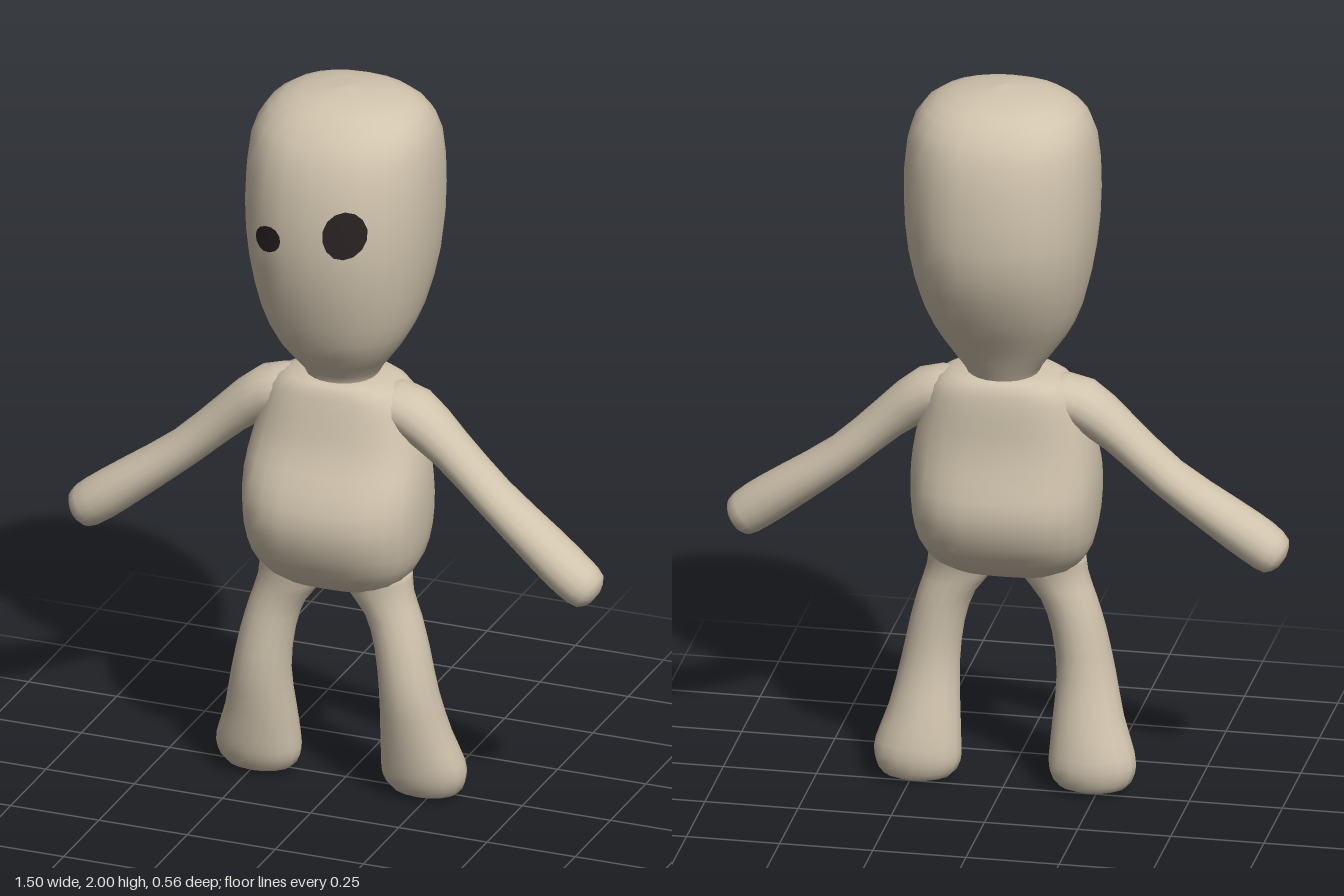
import * as THREE from 'three';

const skin = new THREE.MeshStandardMaterial({ color: 0xd1c4ae });
skin.name = 'beige skin';
const dark = new THREE.MeshStandardMaterial({ color: 0x2a2323 });
dark.name = 'dark eye';

// Skins a smooth surface over sections [x, y, z, halfWidth, halfDepth, tilt],
// listed from bottom to top. power > 2 makes the rings squarer.
function loft(sections, { side = 1, power = 2, sides = 24, steps = 2 } = {}) {
  const centres = new THREE.CatmullRomCurve3(
    sections.map(s => new THREE.Vector3(s[0] * side, s[1], s[2])), false, 'catmullrom');
  const sizes = new THREE.CatmullRomCurve3(
    sections.map(s => new THREE.Vector3(s[3], s[4], (s[5] || 0) * side)), false, 'catmullrom');
  const rings = (sections.length - 1) * steps;
  const round = v => Math.sign(v) * Math.pow(Math.abs(v), 2 / power);
  const pos = [], index = [];
  for (let i = 0; i <= rings; i++) {
    const c = centres.getPoint(i / rings), s = sizes.getPoint(i / rings);
    for (let j = 0; j < sides; j++) {
      const a = (j / sides) * Math.PI * 2;
      const u = round(Math.cos(a)) * s.x;
      pos.push(c.x + u * Math.cos(s.z), c.y + u * Math.sin(s.z), c.z + round(Math.sin(a)) * s.y);
      if (i < rings) {
        const p = i * sides + j, q = i * sides + (j + 1) % sides;
        index.push(p, p + sides, q, q, p + sides, q + sides);
      }
    }
  }
  // End caps
  const first = centres.getPoint(0), last = centres.getPoint(1);
  const bottom = pos.length / 3, top = bottom + 1;
  pos.push(first.x, first.y, first.z, last.x, last.y, last.z);
  for (let j = 0; j < sides; j++) {
    const k = (j + 1) % sides, r = rings * sides;
    index.push(bottom, j, k, top, r + k, r + j);
  }
  const geo = new THREE.BufferGeometry();
  geo.setAttribute('position', new THREE.Float32BufferAttribute(pos, 3));
  geo.setIndex(index);
  geo.computeVertexNormals();
  return geo;
}

// Thin oval laid onto the front of a mesh
function eyePatch(target, x, y, rx, ry, turn) {
  const geo = new THREE.CircleGeometry(1, 14);
  geo.scale(rx, ry, 1).rotateZ(turn).translate(x, y, 0);
  const p = geo.attributes.position, ray = new THREE.Raycaster();
  for (let i = 0; i < p.count; i++) {
    ray.set(new THREE.Vector3(p.getX(i), p.getY(i), 2), new THREE.Vector3(0, 0, -1));
    const hit = ray.intersectObject(target)[0];
    p.setZ(i, (hit ? hit.point.z : 0.2) + 0.006);
  }
  geo.computeVertexNormals();
  return geo;
}

export function createModel() {
  const model = new THREE.Group();
  model.name = 'figure';
  const add = (name, geo, mat = skin) => {
    const mesh = new THREE.Mesh(geo, mat);
    mesh.name = name;
    model.add(mesh);
    return mesh;
  };

  // Tall head, narrowing to the neck
  const head = add('head', loft([
    [0, 1.17, 0.02, 0.09, 0.09],
    [0, 1.21, 0.015, 0.105, 0.105],
    [0, 1.29, 0.025, 0.165, 0.16],
    [0, 1.39, 0.015, 0.212, 0.215],
    [0, 1.54, 0.002, 0.245, 0.268],
    [0, 1.70, 0, 0.257, 0.277],
    [0, 1.86, -0.005, 0.248, 0.25],
    [0, 1.945, -0.01, 0.207, 0.187],
    [0, 1.985, -0.01, 0.125, 0.12],
    [0, 2.0, 0, 0.01, 0.01],
  ], { power: 2.25 }));

  // Round-bellied torso
  add('torso', loft([
    [0, 0.595, 0.07, 0.04, 0.03],
    [0, 0.61, 0.066, 0.15, 0.085],
    [0, 0.66, 0.06, 0.213, 0.14],
    [0, 0.73, 0.055, 0.24, 0.185],
    [0, 0.82, 0.053, 0.25, 0.207],
    [0, 0.91, 0.05, 0.25, 0.185],
    [0, 1.0, 0.035, 0.237, 0.152],
    [0, 1.09, 0.025, 0.212, 0.138],
    [0, 1.15, 0.02, 0.19, 0.127],
    [0, 1.185, 0.02, 0.14, 0.11],
    [0, 1.195, 0.02, 0.06, 0.06],
  ], { power: 2.6 }));

  // Limbs, mirrored by side
  for (const [label, side] of [['left', 1], ['right', -1]]) {
    add(label + 'Arm', loft([
      [0.735, 0.675, 0.07, 0.02, 0.02, 0.95],
      [0.72, 0.69, 0.07, 0.054, 0.058, 0.95],
      [0.67, 0.728, 0.07, 0.063, 0.07, 0.92],
      [0.58, 0.795, 0.058, 0.06, 0.072, 0.88],
      [0.435, 0.905, 0.04, 0.053, 0.067, 0.84],
      [0.31, 1.02, 0.034, 0.057, 0.068, 0.86],
      [0.2, 1.105, 0.028, 0.068, 0.085, 1.0],
      [0.1, 1.13, 0.02, 0.055, 0.08, 1.3],
    ], { side, sides: 16 }));

    add(label + 'Leg', loft([
      [0.235, 0.004, 0.025, 0.03, 0.02],
      [0.235, 0.02, 0.025, 0.09, 0.06],
      [0.234, 0.06, 0.028, 0.115, 0.08],
      [0.233, 0.11, 0.034, 0.115, 0.087],
      [0.22, 0.2, 0.052, 0.096, 0.085],
      [0.209, 0.32, 0.075, 0.079, 0.08],
      [0.19, 0.44, 0.075, 0.073, 0.075],
      [0.163, 0.53, 0.07, 0.076, 0.07],
      [0.125, 0.6, 0.07, 0.092, 0.073],
      [0.11, 0.67, 0.065, 0.1, 0.09],
    ], { side, sides: 16 }));
  }

  // Mismatched eyes
  head.updateMatrixWorld(true);
  add('leftEye', eyePatch(head, 0.1, 1.692, 0.056, 0.068, -0.2), dark);
  add('rightEye', eyePatch(head, -0.12, 1.645, 0.046, 0.036, 0.5), dark);
  return model;
}
